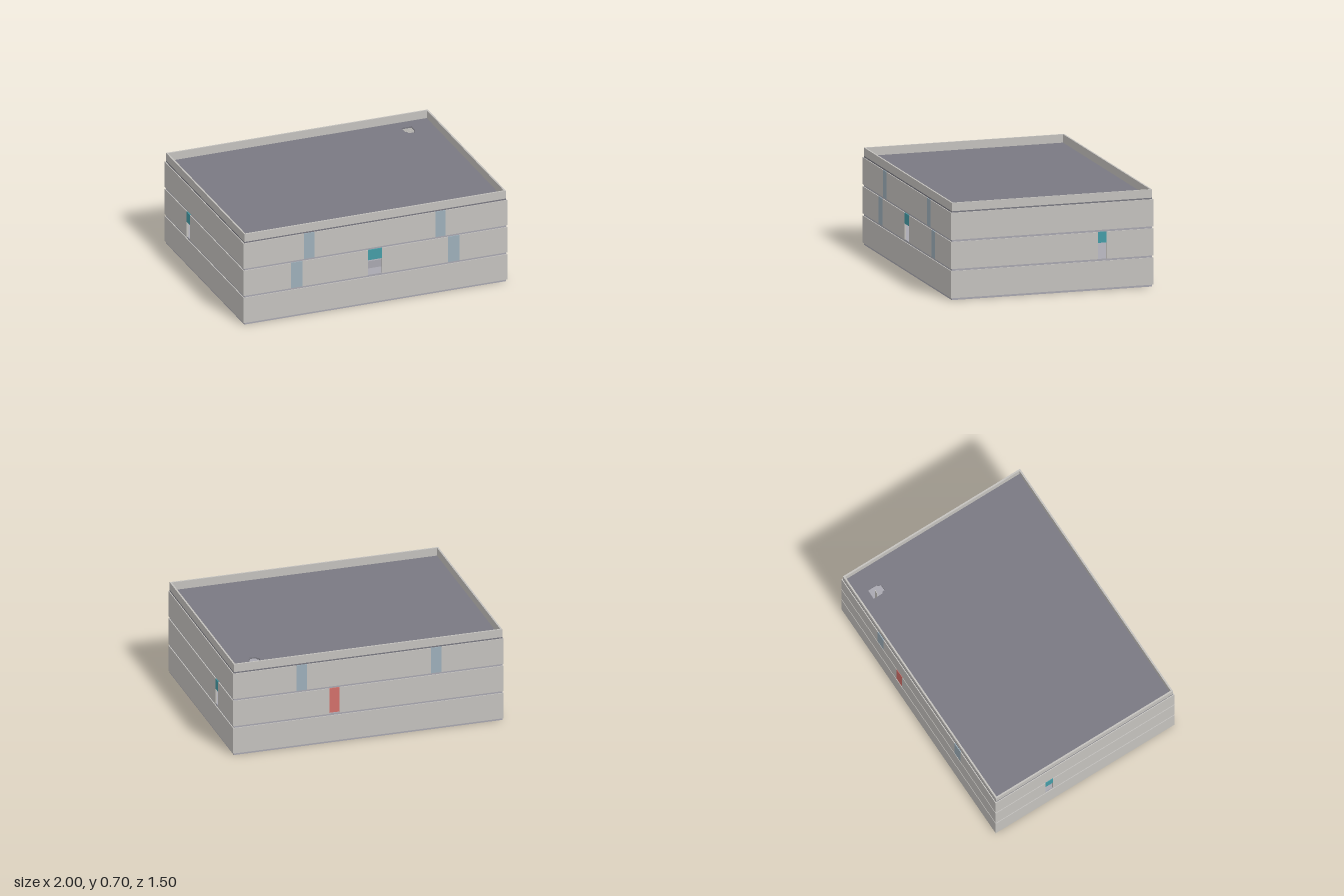
import * as THREE from 'three';

const paint = (c) => new THREE.MeshStandardMaterial({ color: c });

export function createModel() {
  const model = new THREE.Group();
  model.name = 'building';
  const wallMat = paint(0xc4c2be);
  const floorMat = paint(0xa9a8b0);
  const roofMat = paint(0x7a7982);
  const glassMat = paint(0x9dafba);
  const tealMat = paint(0x459ca6);
  const redMat = paint(0xd2706a);

  const W = 1, D = 0.75, T = 0.012, INSET = 0.007;

  function box(parent, name, mat, w, h, d, x, y, z) {
    const m = new THREE.Mesh(new THREE.BoxGeometry(w, h, d), mat);
    m.name = name;
    m.position.set(x, y, z);
    parent.add(m);
    return m;
  }

  // One wall facing +z, split around its full-height inserts.
  // inserts: [centre along wall, width, kind], ordered left to right
  function wall(name, angle, distance, half, y0, y1, inserts = []) {
    const g = new THREE.Group();
    g.name = name;
    g.rotation.y = angle;
    const z = distance - T / 2;
    const piece = (n, mat, a, b, lo, hi) =>
      box(g, n, mat, b - a, hi - lo, T, (a + b) / 2, (lo + hi) / 2, z);
    let from = -half;
    for (const [c, w, kind] of inserts) {
      const a = c - w / 2, b = c + w / 2;
      piece('wallPanel', wallMat, from, a, y0, y1);
      if (kind === 'window') piece('window', glassMat, a, b, y0, y1);
      if (kind === 'redDoor') piece('redDoor', redMat, a, b, y0 + 0.008, y1);
      if (kind === 'doorway') piece('doorwayTransom', tealMat, a, b, y0 + 0.117, y1);
      from = b;
    }
    piece('wallPanel', wallMat, from, half, y0, y1);
    model.add(g);
  }

  // Storeys: each a recessed floor slab with four walls on it
  const storeys = [
    { name: 'ground', y: 0.015 },
    {
      name: 'middle', y: 0.225,
      front: [[-0.597, 0.085, 'window'], [-0.003, 0.108, 'doorway'], [0.593, 0.085, 'window']],
      back: [[-0.25, 0.075, 'redDoor']],
      right: [[-0.3, 0.064, 'doorway']],
      left: [[0.37, 0.064, 'doorway']],
    },
    {
      name: 'upper', y: 0.435,
      front: [[-0.502, 0.078, 'window'], [0.493, 0.078, 'window']],
      back: [[-0.493, 0.078, 'window'], [0.502, 0.078, 'window']],
    },
  ];
  for (const s of storeys) {
    const top = s.y + 0.195;
    box(model, s.name + 'FloorSlab', floorMat,
      2 * (W - INSET), 0.015, 2 * (D - INSET), 0, s.y - 0.0075, 0);
    wall(s.name + 'FrontWall', 0, D, W, s.y, top, s.front);
    wall(s.name + 'BackWall', Math.PI, D, W, s.y, top, s.back);
    wall(s.name + 'LeftWall', Math.PI / 2, W, D - T, s.y, top, s.left);
    wall(s.name + 'RightWall', -Math.PI / 2, W, D - T, s.y, top, s.right);
  }

  // Low counter behind the front doorway
  box(model, 'counter', floorMat, 0.3, 0.055, 0.08, 0, 0.2525, 0.6);

  // Roof slab with a stepped access hatch
  const rw = W - INSET, rd = D - INSET;
  const outline = [[-rw, -rd], [rw, -rd], [rw, rd], [-rw, rd]];
  const hatch = [[0.752, 0.64], [0.828, 0.64], [0.828, 0.565], [0.815, 0.558],
    [0.815, 0.54], [0.765, 0.54], [0.765, 0.558], [0.752, 0.565]];
  const points = (list) => list.map(([x, y]) => new THREE.Vector2(x, y));
  const roofShape = new THREE.Shape(points(outline));
  roofShape.holes.push(new THREE.Path(points(hatch)));
  const roofGeo = new THREE.ExtrudeGeometry(roofShape, { depth: 0.01, bevelEnabled: false });
  roofGeo.rotateX(-Math.PI / 2);
  const roof = new THREE.Mesh(roofGeo, roofMat);
  roof.name = 'roof';
  roof.position.y = 0.63;
  model.add(roof);
  box(model, 'hatchLadder', wallMat, 0.03, 0.195, 0.004, 0.79, 0.5325, -0.595);

  // Parapet around the roof
  wall('frontParapet', 0, rd, rw, 0.64, 0.7);
  wall('backParapet', Math.PI, rd, rw, 0.64, 0.7);
  wall('leftParapet', Math.PI / 2, rw, rd - T, 0.64, 0.7);
  wall('rightParapet', -Math.PI / 2, rw, rd - T, 0.64, 0.7);

  return model;
}
